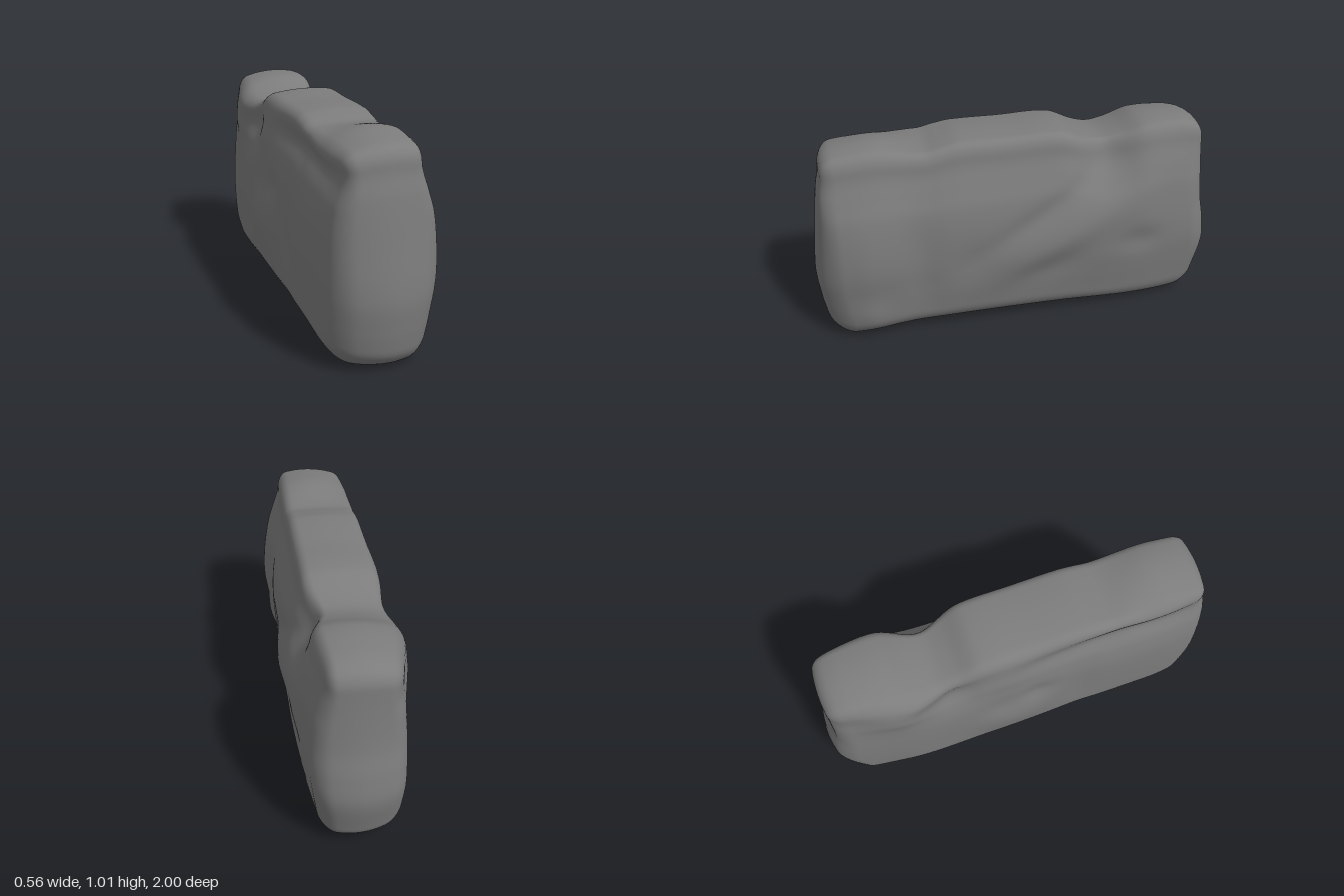
import * as THREE from 'three';
import { mergeVertices } from 'three/addons/utils/BufferGeometryUtils.js';

// Smooth interpolation through [position, value] pairs sorted by position
function profile(points) {
  return (t) => {
    const n = points.length;
    if (t <= points[0][0]) return points[0][1];
    if (t >= points[n - 1][0]) return points[n - 1][1];
    let i = 0;
    while (t > points[i + 1][0]) i++;
    const [a, va] = points[i], [b, vb] = points[i + 1];
    const slope = (k) => {
      const p = points[Math.max(k - 1, 0)], q = points[Math.min(k + 1, n - 1)];
      return (q[1] - p[1]) / (q[0] - p[0]);
    };
    const h = b - a, s = (t - a) / h, s2 = s * s, s3 = s2 * s;
    return va * (2 * s3 - 3 * s2 + 1) + slope(i) * h * (s3 - 2 * s2 + s)
      + vb * (3 * s2 - 2 * s3) + slope(i + 1) * h * (s3 - s2);
  };
}

// Soft swellings and hollows: centre z, y, radii, height, tilt
const relief = (list) => (z, y) => list.reduce((sum, [cz, cy, rz, ry, h, tilt = 0]) => {
  const c = Math.cos(tilt), s = Math.sin(tilt), dz = z - cz, dy = y - cy;
  const u = (dz * c + dy * s) / rz, v = (dy * c - dz * s) / ry;
  return sum + h * Math.exp(-u * u - v * v);
}, 0);

// Outline of the block along its length, and how far its top is crowned
const top = profile([[-0.95, 0.955], [-0.9, 0.975], [-0.8, 1], [-0.62, 0.999], [-0.5, 0.95], [-0.41, 0.93],
  [-0.32, 0.95], [-0.2, 1.002], [0.05, 1.003], [0.28, 1.002], [0.36, 0.985], [0.45, 0.966], [0.66, 1], [0.8, 0.987], [0.93, 0.96]]);
const base = profile([[-0.95, 0.03], [-0.72, 0.014], [-0.2, 0.03], [0.5, 0.028], [0.85, 0.002], [0.95, 0.01]]);
const crown = profile([[-1, 0.8], [-0.6, 0.9], [-0.4, 0.5], [-0.2, 0.5], [0.25, 0.5], [0.45, 0.3], [0.66, 1.4], [0.95, 0.7]]);
const frontEnd = profile([[0, 0.955], [0.1, 0.975], [0.2, 0.99], [0.35, 1], [0.6, 0.975], [0.8, 0.95], [0.9, 0.93], [1, 0.925]]);
const backEnd = profile([[0, 0.945], [0.1, 0.965], [0.3, 1], [0.45, 0.985], [0.6, 0.955], [0.8, 0.935], [1, 0.925]]);

// Half widths by height on the two long sides, and their narrowing at the ends
const leftWidth = profile([[0, 0.205], [0.1, 0.218], [0.25, 0.24], [0.4, 0.257], [0.55, 0.255], [0.7, 0.238], [0.8, 0.208], [0.9, 0.178], [1, 0.17]]);
const rightWidth = profile([[0, 0.23], [0.1, 0.247], [0.3, 0.25], [0.6, 0.243], [0.75, 0.222], [0.86, 0.193], [1, 0.197]]);
const taper = profile([[-1, 0.8], [-0.8, 0.89], [-0.6, 0.98], [-0.3, 1], [0.75, 1], [1, 0.92]]);

const leftRelief = relief([
  [-0.2, 0.48, 0.38, 0.1, 0.022, -0.56], // diagonal swelling
  [-0.12, 0.64, 0.35, 0.06, -0.016, -0.56], // hollow above it
  [-0.12, 0.32, 0.2, 0.08, -0.01, -0.4],
  [0.27, 0.42, 0.14, 0.12, -0.01],
  [-0.6, 0.42, 0.11, 0.07, -0.014],
  [-0.62, 0.6, 0.18, 0.16, 0.012],
  [-0.42, 0.93, 0.12, 0.16, -0.055], // side of the top notch
  [-0.7, 0.85, 0.2, 0.15, 0.022],
  [0.77, 0.4, 0.15, 0.32, 0.014], // front corner
  [0.78, 0.12, 0.14, 0.1, 0.02],
  [0.5, 0.45, 0.1, 0.3, -0.02],
]);
const rightRelief = relief([
  [-0.65, 0.87, 0.21, 0.14, 0.058], // shoulder behind the notch
  [-0.08, 0.36, 0.2, 0.18, 0.027],
  [-0.1, 0.86, 0.16, 0.1, 0.02],
  [0.5, 0.87, 0.38, 0.05, -0.014], // groove under the top ledge
  [-0.36, 0.82, 0.1, 0.12, -0.02],
  [0.05, 0.58, 0.09, 0.08, -0.016],
  [-0.14, 0.55, 0.08, 0.1, -0.01],
  [0.28, 0.4, 0.1, 0.3, -0.01],
  [0.65, 0.45, 0.2, 0.35, 0.006],
]);

function blockGeometry() {
  const HX = 0.25;
  const box = new THREE.BoxGeometry(2 * HX, 1, 2, 28, 60, 120);
  box.deleteAttribute('uv');
  box.deleteAttribute('normal');
  const geo = mergeVertices(box, 1e-4);
  const pos = geo.attributes.position;
  const p = new THREE.Vector3(), core = new THREE.Vector3();
  const lo = new THREE.Vector3(), hi = new THREE.Vector3();
  for (let i = 0; i < pos.count; i++) {
    // round the edges, more crisply towards the top
    p.fromBufferAttribute(pos, i);
    const r = 0.083 - 0.035 * p.y;
    hi.set(HX - r, 0.5 - r, 1 - r);
    lo.copy(hi).negate();
    core.copy(p).clamp(lo, hi);
    p.sub(core).setLength(r).add(core);

    // bend the rounded block to its worn outline
    const h = p.y + 0.5;
    const end = p.z * (p.z > 0 ? frontEnd(h) : backEnd(h));
    const level = base(end) + h * (top(end) - base(end));
    const half = p.x > 0 ? leftWidth(h) + leftRelief(end, level) : rightWidth(h) + rightRelief(end, level);
    const x = (p.x / HX) * half * taper(p.z);

    // pillow the ends, top and underside
    const z = end * (1 - 1.6 * (1 - 0.6 * h) * x * x * p.z ** 4);
    const y = level - crown(end) * h ** 4 * (x - 0.03) ** 2 + 0.5 * (1 - h) ** 4 * (x - 0.05) ** 2;
    pos.setXYZ(i, x, y, z);
  }
  geo.computeVertexNormals();
  return geo;
}

export function createModel() {
  const group = new THREE.Group();
  group.name = 'stoneBlock';
  const block = new THREE.Mesh(blockGeometry(), new THREE.MeshStandardMaterial({ color: 0x7c7c7c }));
  block.name = 'wornBlock';
  group.add(block);
  return group;
}
